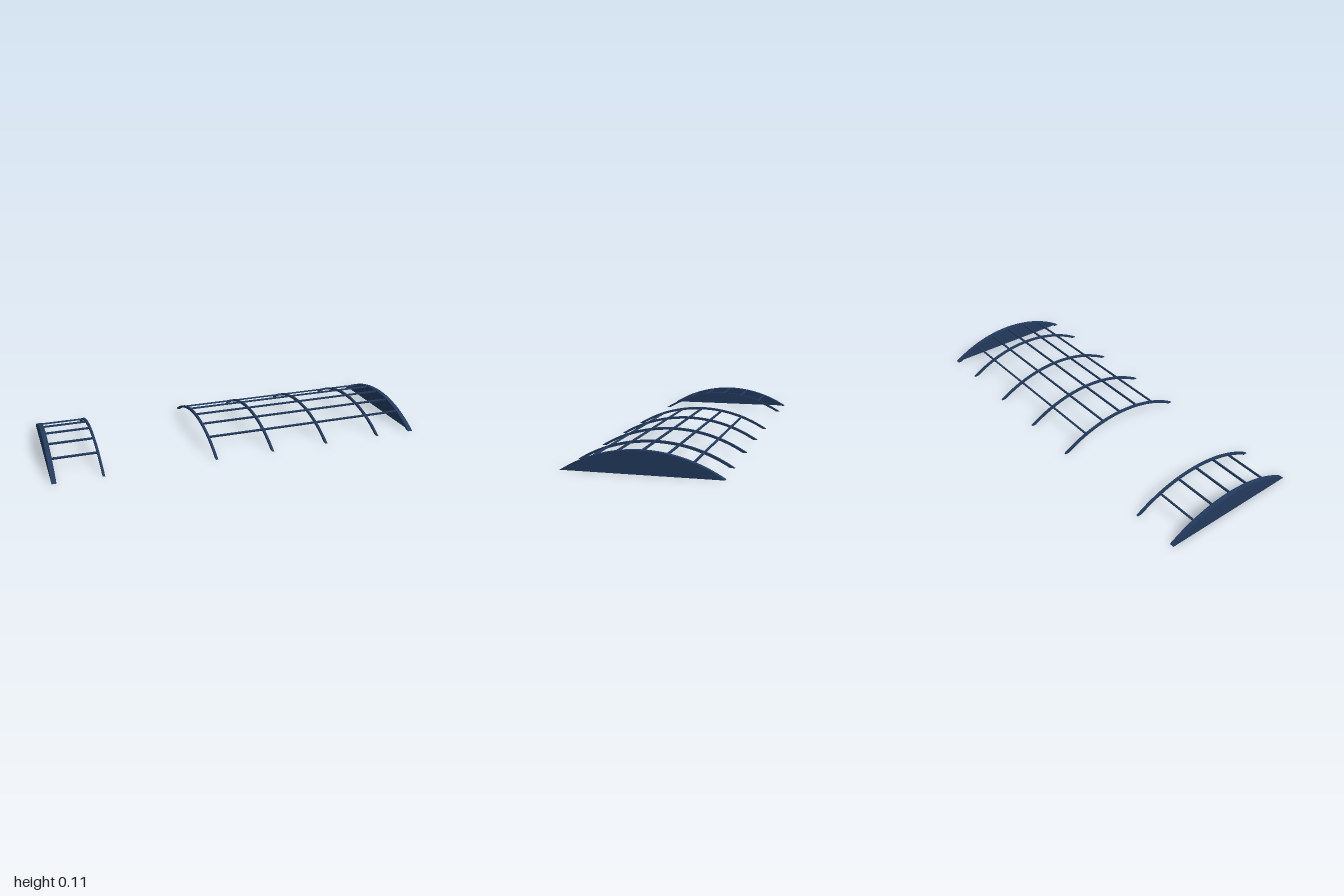
import * as THREE from 'three';

const HALF_SPAN = 0.38, RISE = 0.11, RIB = 0.012, PURLIN = 0.009;
const R = (HALF_SPAN ** 2 + RISE ** 2) / (2 * RISE); // outer radius of the roof arc
const CY = RISE - R;                                 // height of the arc centre
const HALF_ANGLE = Math.asin(HALF_SPAN / R);

// Extrudes a (z, y) outline along x, centred on the given x
function extrudeAcross(shape, x, width) {
  const geo = new THREE.ExtrudeGeometry(shape, { depth: width, bevelEnabled: false, curveSegments: 32 });
  geo.translate(0, 0, -width / 2);
  geo.rotateY(Math.PI / 2);
  geo.translate(x, 0, 0);
  return geo;
}

export function createModel() {
  const group = new THREE.Group();
  const navy = new THREE.MeshStandardMaterial({ color: 0x233b5f });
  navy.name = 'navy steel';

  const add = (name, geo) => {
    const mesh = new THREE.Mesh(geo, navy);
    mesh.name = name;
    group.add(mesh);
    return mesh;
  };

  // Curved band for the ribs, feet cut level with the ground
  const a0 = Math.PI / 2 - HALF_ANGLE, a1 = Math.PI / 2 + HALF_ANGLE;
  const inner = R - RIB;
  const b = Math.asin(-CY / inner);
  const band = new THREE.Shape();
  band.absarc(0, CY, R, a0, a1, false);
  band.absarc(0, CY, inner, Math.PI - b, b, true);
  band.closePath();

  // Filled arc segment for the end walls
  const segment = new THREE.Shape();
  segment.absarc(0, CY, R, a0, a1, false);
  segment.closePath();

  // Arched ribs
  for (const x of [-0.982, -0.745, -0.157, 0.155, 0.467, 0.779, 0.982]) {
    add('archRib', extrudeAcross(band, x, RIB));
  }

  // Solid end walls outside the last ribs
  for (const side of [-1, 1]) {
    add('endWall', extrudeAcross(segment, side * 0.994, 0.012));
  }

  // Lengthwise purlins in the two bays, leaving the gap open
  for (const [x0, x1] of [[-0.982, -0.745], [-0.157, 0.982]]) {
    for (const z of [-0.236, -0.119, -0.003, 0.115, 0.231]) {
      const r = R - RIB / 2;
      const purlin = add('purlin', new THREE.BoxGeometry(x1 - x0, PURLIN, PURLIN));
      purlin.position.set((x0 + x1) / 2, CY + Math.sqrt(r * r - z * z), z);
      purlin.rotation.x = Math.asin(z / r);
    }
  }
  return group;
}
